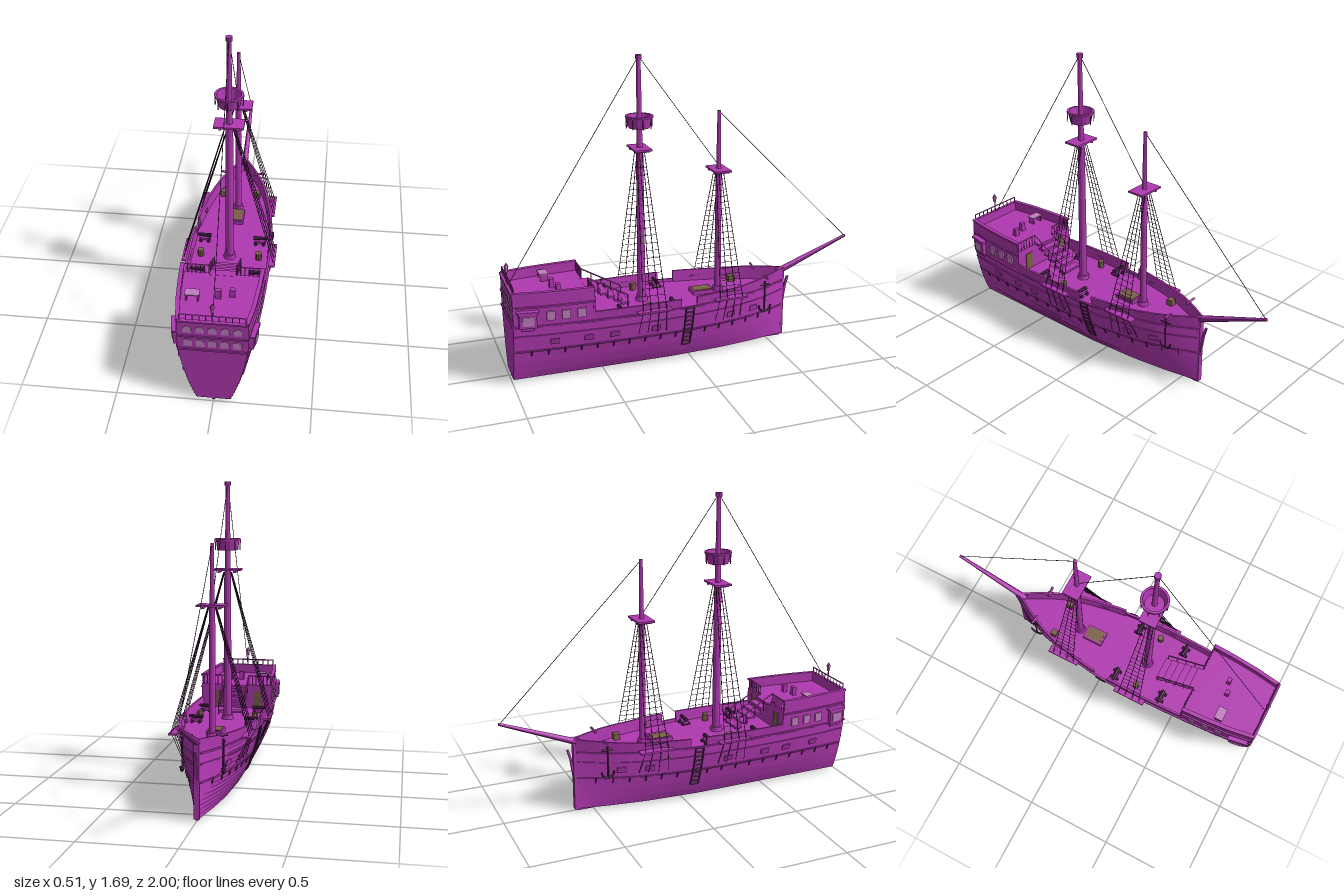
import * as THREE from 'three';

const V = (x, y, z) => new THREE.Vector3(x, y, z);
const mat = (color) => new THREE.MeshStandardMaterial({ color, side: THREE.DoubleSide, flatShading: true });
const wood = mat(0xb038b0), dark = mat(0x4a2048), glass = mat(0xc27cc0), brown = mat(0x7a6048);

// Linear lookup in a table of [key, value] pairs
function look(table, k) {
  for (let i = 1; i < table.length; i++) {
    const [a, va] = table[i - 1], [b, vb] = table[i];
    if (k <= b) return va + (vb - va) * Math.max(0, (k - a) / (b - a));
  }
  return table[table.length - 1][1];
}
const beam = [[-0.6, 0.012], [-0.5, 0.072], [-0.4, 0.122], [-0.3, 0.157], [-0.2, 0.182], [-0.05, 0.21], [0.1, 0.223], [0.3, 0.228], [0.5, 0.223], [0.7, 0.213], [0.85, 0.2], [0.99, 0.178]];
const floorW = [[-0.6, 0.008], [-0.4, 0.045], [-0.2, 0.072], [0.1, 0.09], [0.99, 0.085]];
const fill = [[0.012, 0], [0.06, 0.22], [0.12, 0.44], [0.2, 0.67], [0.28, 0.85], [0.36, 0.98], [0.42, 1], [0.53, 0.97]];
const halfW = (z, y) => { const b = look(floorW, z); return b + (look(beam, z) - b) * look(fill, y); };
const range = (a, b, n) => Array.from({ length: n + 1 }, (_, i) => a + (b - a) * i / n);

// Skin a row of cross-sections with quads
function loft(sections, closed) {
  const pos = [], n = sections[0].length;
  const tri = (...p) => p.forEach((v) => pos.push(v.x, v.y, v.z));
  for (let i = 0; i + 1 < sections.length; i++) {
    for (let j = 0; j < (closed ? n : n - 1); j++) {
      const k = (j + 1) % n, A = sections[i], B = sections[i + 1];
      tri(A[j], A[k], B[k]); tri(A[j], B[k], B[j]);
    }
  }
  if (closed) for (const s of [sections[0], sections[sections.length - 1]]) {
    for (let j = 1; j + 1 < n; j++) tri(s[0], s[j], s[j + 1]);
  }
  const g = new THREE.BufferGeometry();
  g.setAttribute('position', new THREE.Float32BufferAttribute(pos, 3));
  g.computeVertexNormals();
  return g;
}

export function createModel() {
  const ship = new THREE.Group();
  ship.name = 'sailingShip';
  const add = (name, geo, m = wood, x = 0, y = 0, z = 0) => {
    const mesh = new THREE.Mesh(geo, m);
    mesh.name = name; mesh.position.set(x, y, z); ship.add(mesh);
    return mesh;
  };
  const box = (name, w, h, d, x, y, z, m) => add(name, new THREE.BoxGeometry(w, h, d), m, x, y, z);
  const bar = (name, a, b, r0, r1 = r0, m = wood, sides = 4) => {
    const d = b.clone().sub(a), c = a.clone().add(b).multiplyScalar(0.5);
    const mesh = add(name, new THREE.CylinderGeometry(r1, r0, d.length(), sides), m, c.x, c.y, c.z);
    mesh.quaternion.setFromUnitVectors(V(0, 1, 0), d.normalize());
    return mesh;
  };
  const rope = (name, a, b, r = 0.0016) => bar(name, a, b, r, r, dark, 3);
  const level = (name, z0, z1, y, inset) => add(name, loft(range(z0, z1, 20).map((z) => {
    const w = Math.max(halfW(z, y) - inset, 0.002);
    return [V(-w, y, z), V(w, y, z)];
  })));

  // Decks, hull bottom, keel and stem
  level('mainDeck', -0.6, 0.98, 0.335, 0.004);
  level('poopDeck', 0.565, 0.985, 0.475, 0.006);
  level('hullBottom', -0.6, 0.99, 0.012, 0);
  box('keel', 0.016, 0.016, 1.58, 0, 0.008, 0.2);
  box('stemPost', 0.03, 0.41, 0.016, 0, 0.215, -0.598);
  const bowBoard = [[0.15, -0.604], [0.22, -0.612], [0.3, -0.624], [0.36, -0.64]];
  add('bowBoard', loft(bowBoard.map(([y, z]) => [V(-0.006, y, z), V(0.006, y, z), V(0.006, y, z + 0.012), V(-0.006, y, z + 0.012)]), true));

  // Flat stern
  const ys = range(0.012, 0.53, 16), outline = new THREE.Shape();
  ys.forEach((y, i) => outline[i ? 'lineTo' : 'moveTo'](halfW(0.99, y), y));
  [...ys].reverse().forEach((y) => outline.lineTo(-halfW(0.99, y), y));
  add('transom', new THREE.ExtrudeGeometry(outline, { depth: 0.012, bevelEnabled: false }), wood, 0, 0, 0.98);
  for (const y of [0.345, 0.43, 0.525]) box('sternMoulding', 0.35, 0.01, 0.01, 0, y, 0.993);
  for (const x of range(-0.125, 0.125, 4)) {
    const arch = new THREE.Shape();
    arch.moveTo(-0.02, 0); arch.lineTo(0.02, 0); arch.lineTo(0.02, 0.03);
    arch.quadraticCurveTo(0, 0.055, -0.02, 0.03);
    add('sternWindow', new THREE.ExtrudeGeometry(arch, { depth: 0.006, bevelEnabled: false, curveSegments: 5 }), glass, x, 0.455, 0.99);
    box('sternPane', 0.042, 0.04, 0.006, x * 0.98, 0.388, 0.993, glass);
  }

  // Castle front wall and stairs
  box('castleFront', 0.43, 0.14, 0.012, 0, 0.405, 0.57);
  for (const x of [-0.13, 0.13]) box('castleDoor', 0.05, 0.1, 0.006, x, 0.387, 0.562, brown);
  range(0, 5, 5).forEach((i) => box('stairStep', 0.135, 0.012, 0.042, 0, 0.355 + i * 0.023, 0.36 + i * 0.04));

  const sheer = [[-0.6, 0.42], [-0.25, 0.4], [0.57, 0.395]];
  for (const s of [1, -1]) {
    // Lapped hull planks
    const rows = range(0.012, 0.345, 15);
    for (let i = 0; i < 15; i++) {
      add('hullPlank', loft(range(-0.6, 0.99, 30).map((z) => {
        const w = halfW(z, rows[i]);
        return [V(s * w, rows[i], z), V(s * (w + 0.004), rows[i], z), V(s * halfW(z, rows[i + 1]), rows[i + 1], z)];
      })));
    }
    // Solid wall following the hull side
    const wall = (name, z0, z1, y0, top, out = 0, thick = 0.012) => add(name, loft(range(z0, z1, 14).map((z) => {
      const t = top(z), a = halfW(z, y0) + out, b = halfW(z, t) + out;
      const c = Math.max(a - thick, 0.001), d = Math.max(b - thick, 0.001);
      return [V(s * a, y0, z), V(s * b, t, z), V(s * d, t, z), V(s * c, y0, z)];
    }), true));
    const rail = (z) => look(sheer, z);
    wall('foreBulwark', -0.6, 0, 0.335, rail);
    wall('waistBulwark', 0.09, 0.57, 0.335, rail);
    wall('castleSide', 0.57, 0.99, 0.335, () => 0.53);
    wall('castleCap', 0.565, 0.99, 0.522, () => 0.533, 0.005, 0.022);
    wall('castleBand', 0.57, 0.99, 0.45, () => 0.458, 0.005);
    for (const [y, h] of [[0.19, 0.01], [0.285, 0.008], [0.34, 0.01]]) wall('wale', -0.59, 0.985, y, () => y + h, 0.008);
    for (const z of range(-0.5, 0.9, 16)) bar('hullStud', V(s * (halfW(z, 0.165) + 0.004), 0.165, z), V(s * (halfW(z, 0.2) + 0.007), 0.2, z), 0.004, 0.004, dark);

    // Gun ports and castle side windows
    for (const z of [0.78, 0.6, 0.46, 0.23, -0.22, -0.37]) {
      wall('gunPort', z - 0.024, z + 0.024, 0.23, () => 0.262, 0.009);
    }
    for (const z of [0.8, 0.72, 0.64]) wall('castleWindow', z - 0.022, z + 0.022, 0.375, () => 0.425, 0.004).material = glass;

    // Quarter gallery
    wall('quarterGallery', 0.875, 0.965, 0.345, () => 0.425, 0.022, 0.03);
    wall('galleryPane', 0.89, 0.95, 0.36, () => 0.41, 0.026, 0.01).material = glass;
    wall('galleryRoof', 0.865, 0.975, 0.425, () => 0.437, 0.027, 0.035);
    wall('galleryFoot', 0.885, 0.955, 0.325, () => 0.345, 0.012, 0.02);

    // Boarding ladder
    const side = (y, z) => V(s * (halfW(z, y) + 0.012), y, z);
    const ly = range(0.1, 0.345, 9);
    ly.forEach((y, i) => {
      bar('ladderRung', side(y, 0.022), side(y, 0.068), 0.004, 0.004, dark);
      if (i) for (const z of [0.022, 0.068]) bar('ladderRail', side(ly[i - 1], z), side(y, z), 0.004, 0.004, dark);
    });

    // Shrouds with ratlines, channels and chains for both masts
    for (const [z, y, x, d] of [[0.25, 1.18, 0.245, 0.066], [-0.2, 1.03, 0.21, 0.066]]) {
      box('channel', 0.045, 0.01, 0.19, s * (x - 0.013), 0.36, z);
      const shroud = (f, t) => V(s * x, 0.365, z + f * d).lerp(V(s * 0.02, y, z + f * 0.02), t);
      for (const f of [-1, -0.35, 0.35, 1]) {
        rope('shroud', shroud(f, 0), shroud(f, 1), 0.0022);
        const zc = z + f * d * 1.2;
        rope('chain', shroud(f, 0), V(s * (halfW(zc, 0.22) + 0.008), 0.22, zc), 0.002);
      }
      for (const t of range(0.05, 0.9, 18)) rope('ratline', shroud(-1, t), shroud(1, t), 0.0013);
    }

    // Anchor and cathead
    const ax = halfW(-0.45, 0.3) + 0.018;
    bar('cathead', V(s * 0.07, 0.405, -0.45), V(s * 0.13, 0.415, -0.455), 0.008);
    bar('anchorShank', V(s * ax, 0.21, -0.445), V(s * ax, 0.39, -0.445), 0.005, 0.005, dark);
    bar('anchorStock', V(s * ax, 0.37, -0.475), V(s * ax, 0.37, -0.415), 0.005, 0.005, dark);
    const fluke = add('anchorFluke', new THREE.TorusGeometry(0.035, 0.006, 4, 8, Math.PI), dark, s * ax, 0.245, -0.445);
    fluke.rotation.set(Math.PI, Math.PI / 2, 0);

    // Cannons on their carriages
    for (const z of [0.12, 0.415]) {
      box('cannonCarriage', 0.06, 0.016, 0.03, s * 0.155, 0.351, z);
      bar('cannonBarrel', V(s * 0.12, 0.37, z), V(s * 0.198, 0.372, z), 0.012, 0.008, dark, 8);
      for (const dx of [-0.022, 0.022]) bar('cannonWheels', V(s * (0.155 + dx), 0.344, z - 0.025), V(s * (0.155 + dx), 0.344, z + 0.025), 0.009, 0.009, dark, 8);
    }
    bar('deckBarrel', V(s * 0.16, 0.335, 0.255), V(s * 0.16, 0.375, 0.255), 0.018, 0.018, brown, 10);
    box('bowCrate', 0.035, 0.035, 0.035, s * 0.1, 0.352, -0.32, brown);

    // Stair rail and poop front rail
    bar('stairRail', V(s * 0.072, 0.405, 0.35), V(s * 0.072, 0.53, 0.57), 0.004);
    for (const t of range(0, 1, 4)) bar('stairPost', V(s * 0.072, 0.335 + t * 0.13, 0.35 + t * 0.22), V(s * 0.072, 0.405 + t * 0.125, 0.35 + t * 0.22), 0.003);
    bar('poopRail', V(s * 0.072, 0.53, 0.57), V(s * 0.21, 0.53, 0.57), 0.004);
    for (const x of range(0.072, 0.205, 6)) bar('poopPost', V(s * x, 0.475, 0.57), V(s * x, 0.53, 0.57), 0.003);
  }

  // Stern rail and lantern
  bar('sternRail', V(-0.165, 0.562, 0.983), V(0.165, 0.562, 0.983), 0.004);
  for (const x of range(-0.163, 0.163, 10)) bar('sternPost', V(x, 0.53, 0.983), V(x, 0.562, 0.983), 0.003);
  bar('lanternPost', V(0, 0.53, 0.985), V(0, 0.59, 0.985), 0.004);
  bar('lantern', V(0, 0.59, 0.985), V(0, 0.62, 0.985), 0.008, 0.012, glass, 6);
  bar('lanternRoof', V(0, 0.62, 0.985), V(0, 0.642, 0.985), 0.014, 0.001, wood, 6);

  // Deck fittings
  box('hatchFrame', 0.085, 0.022, 0.12, 0, 0.345, -0.1);
  box('hatchGrating', 0.068, 0.004, 0.1, 0, 0.358, -0.1, brown);
  box('tableTop', 0.075, 0.006, 0.05, -0.13, 0.515, 0.77, glass);
  for (const x of [-0.16, -0.1]) box('tableLeg', 0.006, 0.038, 0.04, x, 0.494, 0.77);
  box('binnacle', 0.028, 0.05, 0.024, 0, 0.5, 0.75);
  box('poopChest', 0.028, 0.045, 0.024, 0.07, 0.497, 0.73);

  // Masts with tops and caps
  for (const [z, top, plat, r] of [[0.25, 1.675, 1.195, 0.023], [-0.2, 1.365, 1.04, 0.019]]) {
    bar('mastCollar', V(0, 0.335, z), V(0, 0.36, z), r + 0.012, r + 0.008, wood, 12);
    bar('lowerMast', V(0, 0.335, z), V(0, plat, z), r, r * 0.85, wood, 12);
    bar('upperMast', V(0, plat, z), V(0, top, z), r * 0.72, r * 0.5, wood, 12);
    box('mastPlatform', 0.155, 0.01, 0.095, 0, plat, z);
    for (const x of [-0.045, 0.045]) box('platformBeam', 0.012, 0.012, 0.085, x, plat - 0.01, z);
  }
  bar('mastCap', V(0, 1.665, 0.25), V(0, 1.687, 0.25), 0.018, 0.018, wood, 10);
  const nest = [[0.001, 1.305], [0.056, 1.305], [0.068, 1.36], [0.075, 1.36], [0.075, 1.37], [0.062, 1.37], [0.05, 1.313], [0.001, 1.313]];
  add('crowsNest', new THREE.LatheGeometry(nest.map(([x, y]) => new THREE.Vector2(x, y)), 16), wood, 0, 0, 0.25);
  for (const a of range(0, Math.PI * 1.75, 7)) bar('nestStave', V(Math.cos(a) * 0.07, 1.305, 0.25 + Math.sin(a) * 0.07), V(Math.cos(a) * 0.072, 1.36, 0.25 + Math.sin(a) * 0.072), 0.003);

  // Bowsprit and stays
  bar('bowsprit', V(0, 0.395, -0.57), V(0, 0.567, -0.998), 0.019, 0.008, wood, 10);
  rope('backStay', V(0, 1.68, 0.25), V(0, 0.535, 0.97), 0.002);
  rope('mastStay', V(0, 1.68, 0.25), V(0, 1.06, -0.2), 0.002);
  rope('foreStay', V(0, 1.36, -0.2), V(0, 0.57, -0.99), 0.002);
  return ship;
}
